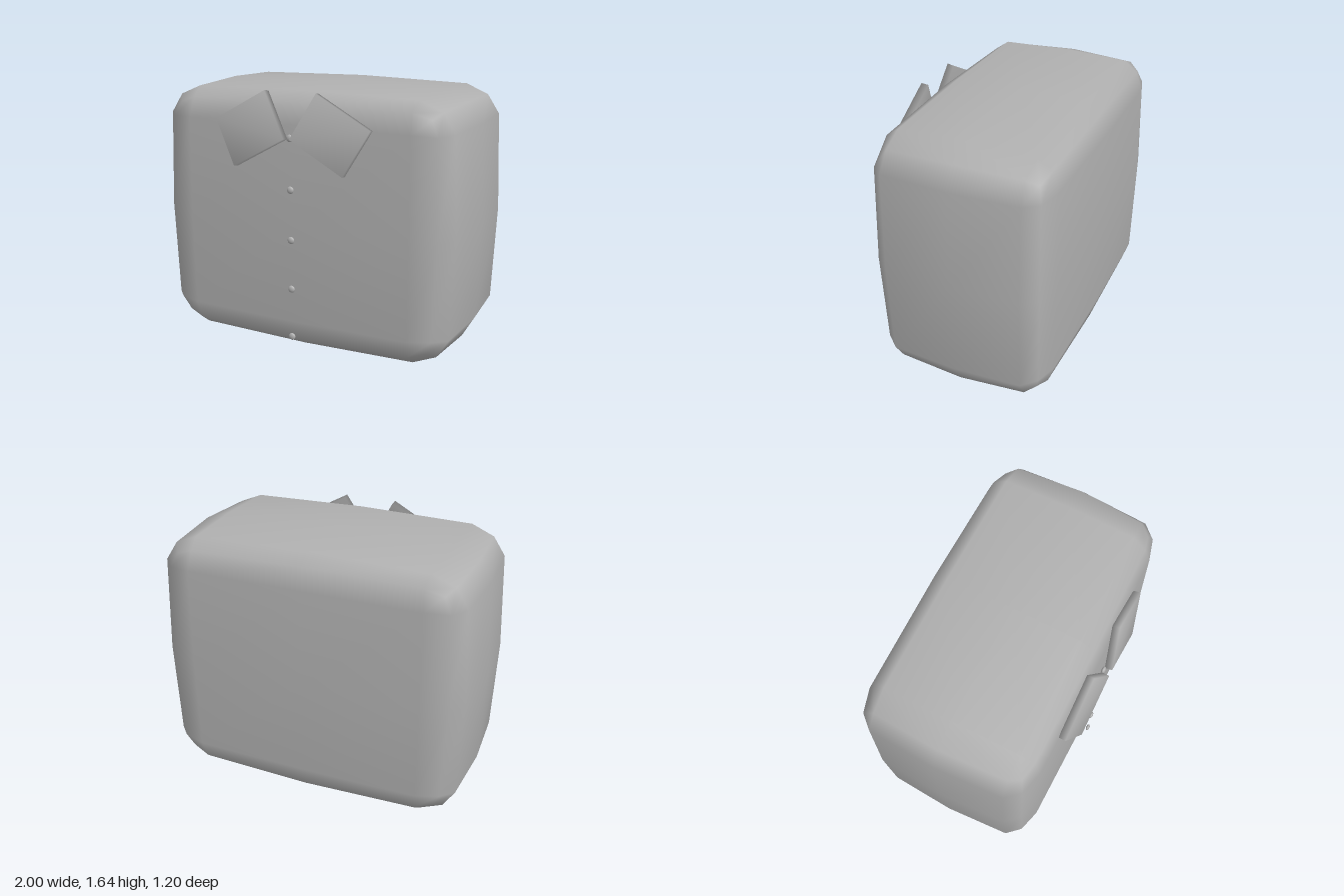
import * as THREE from 'three';
import { mergeVertices } from 'three/addons/utils/BufferGeometryUtils.js';

// Box with shared corners, so the shading runs smoothly over the edges
function smoothBox(w, h, d, n, rule) {
  let geo = new THREE.BoxGeometry(w, h, d, n, n, n);
  geo.deleteAttribute('uv');
  geo.deleteAttribute('normal');
  geo = mergeVertices(geo);
  if (rule) {
    const pos = geo.attributes.position;
    for (let i = 0; i < pos.count; i++) {
      pos.setXYZ(i, ...rule([pos.getX(i), pos.getY(i), pos.getZ(i)]));
    }
  }
  geo.computeVertexNormals();
  return geo;
}

// Per axis: half size, position of the inner loop, inset at the inner loop, inset at the rim
const AXES = [
  { half: 1.0, loop: 0.75, near: 0.025, rim: 0.1 },
  { half: 0.82, loop: 0.625, near: 0.015, rim: 0.075 },
  { half: 0.565, loop: 0.43, near: 0.01, rim: 0.05 },
];

// Bulges the faces and rounds off edges and corners
function pillow(p) {
  return AXES.map((a, i) => {
    const t = Math.abs(p[i]);
    const others = p.filter((_, j) => j !== i).map(Math.abs);
    const drop = others.reduce((s, o) => s + (o > 0.9 ? a.rim : o > 0.4 ? a.near : 0), 0);
    const corner = others.every((o) => o > 0.9) ? 0.85 : 1;
    const size = t > 0.9 ? a.half - drop * corner : t > 0.4 ? a.loop - drop * 0.15 : 0;
    return Math.sign(p[i]) * size;
  });
}

export function createModel() {
  const model = new THREE.Group();
  model.name = 'shirtTorso';
  const grey = new THREE.MeshStandardMaterial({ color: 0xb0b0b0 });
  grey.name = 'grey';

  // Rounded torso block
  const torso = new THREE.Mesh(smoothBox(2, 2, 2, 4, pillow), grey);
  torso.name = 'torso';
  torso.position.set(0, 0.825, -0.035);
  model.add(torso);

  // Collar flaps, leaning back at the top and mirrored
  const along = new THREE.Vector3(0.339, -0.188, 0).normalize();
  const up = new THREE.Vector3(0.145, 0.272, -0.05).normalize();
  const out = new THREE.Vector3().crossVectors(along, up).normalize();
  up.crossVectors(out, along);
  const flapGeo = smoothBox(0.388, 0.312, 0.045, 1);
  flapGeo.applyMatrix4(new THREE.Matrix4().makeBasis(along, up, out));
  for (const side of [1, -1]) {
    const flap = new THREE.Mesh(flapGeo, grey);
    flap.name = side > 0 ? 'leftCollarFlap' : 'rightCollarFlap';
    flap.position.set(side * 0.262, 1.406, 0.555);
    flap.scale.x = side;
    model.add(flap);
  }

  // Row of flattened buttons
  const buttonGeo = new THREE.SphereGeometry(0.022, 16, 12);
  for (let i = 0; i < 5; i++) {
    const button = new THREE.Mesh(buttonGeo, grey);
    button.name = `button${i + 1}`;
    button.position.set(0, 1.368 - i * 0.31, 0.557);
    button.scale.z = 0.55;
    model.add(button);
  }
  return model;
}
